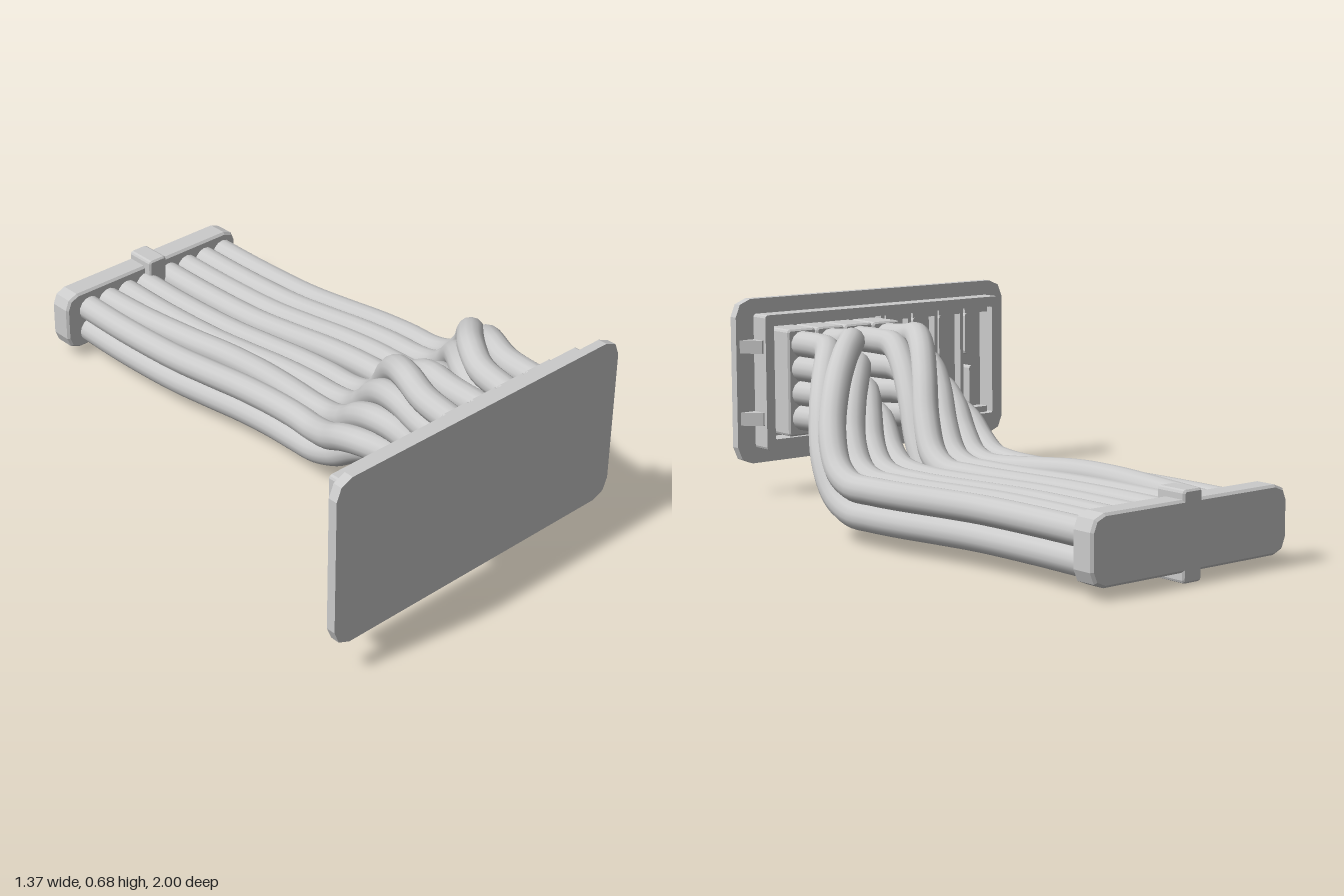
import * as THREE from 'three';

const grey = new THREE.MeshStandardMaterial({ color: 0xcccccc });
const greyThin = new THREE.MeshStandardMaterial({ color: 0xcccccc, side: THREE.DoubleSide });

// Rectangle outline with corners rounded in two facets
function roundedRect(x0, x1, y0, y1, r, Type = THREE.Shape) {
  const s = new Type();
  s.moveTo(x0 + r, y0);
  s.lineTo(x1 - r, y0);
  s.absarc(x1 - r, y0 + r, r, -Math.PI / 2, 0);
  s.absarc(x1 - r, y1 - r, r, 0, Math.PI / 2);
  s.absarc(x0 + r, y1 - r, r, Math.PI / 2, Math.PI);
  s.absarc(x0 + r, y0 + r, r, Math.PI, Math.PI * 1.5);
  return s;
}

// Slab between z0 and z1 with a small bevel; the outline stays the outer size
function slab(name, shape, z0, z1, bevel = 0) {
  const g = new THREE.ExtrudeGeometry(shape, {
    depth: z1 - z0 - 2 * bevel, curveSegments: 1, bevelEnabled: bevel > 0,
    bevelThickness: bevel, bevelSize: bevel, bevelOffset: -bevel, bevelSegments: 1,
  });
  g.translate(0, 0, z0 + bevel);
  const m = new THREE.Mesh(g, grey);
  m.name = name;
  return m;
}

function block(name, x0, x1, y0, y1, z0, z1) {
  const m = new THREE.Mesh(new THREE.BoxGeometry(x1 - x0, y1 - y0, z1 - z0), grey);
  m.position.set((x0 + x1) / 2, (y0 + y1) / 2, (z0 + z1) / 2);
  m.name = name;
  return m;
}

// Each bundle is two columns of four cables that sweeps down and twists a
// quarter turn into two flat rows. Centre line, twist and half gap by station:
const stations = [0.84, 0.7, 0.6, 0.5, 0.4, 0.3, 0.2, 0.1, -0.02, -0.15, -0.3, -0.45, -0.7, -0.94];
const centreX = [
  [0.012, 0.01, 0.01, 0.022, 0.05, 0.087, 0.115, 0.127, 0.128, 0.117, 0.094, 0.073, 0.061, 0.0645],
  [0.252, 0.258, 0.285, 0.343, 0.41, 0.467, 0.497, 0.509, 0.508, 0.492, 0.462, 0.437, 0.426, 0.4275],
];
const centreY = [0.4025, 0.41, 0.42, 0.39, 0.325, 0.23, 0.16, 0.135];
const twist = [0, 5, 16, 33, 50, 68, 83];
const halfGap = [0.06, 0.055, 0.05, 0.046];
const rise = [0, 0.008, 0.02, 0.03, 0.027, 0.012, 0];
const pitch = 0.085;

// Point at station i, offset u across the two columns and v along the stack
function bundlePoint(bundle, u, v, i) {
  const a = THREE.MathUtils.degToRad(twist[i] ?? 90);
  return new THREE.Vector3(
    centreX[bundle][i] + u * Math.cos(a) + v * Math.sin(a),
    (centreY[i] ?? 0.1325) - u * Math.sin(a) + v * Math.cos(a),
    stations[i]);
}

function cable(bundle, side, k) {
  const points = stations.map((z, i) => {
    const p = bundlePoint(bundle, side * (halfGap[i] ?? 0.0425), pitch * (1.5 - k), i);
    if (bundle === 0 && side < 0 && k === 2) p.y += rise[i - 7] ?? 0;
    return p;
  });
  const path = new THREE.CatmullRomCurve3(points);
  const m = new THREE.Mesh(new THREE.TubeGeometry(path, 72, 0.045, 14), grey);
  m.name = 'cable';
  return m;
}

// Smooth web under the flat stretch of a bundle
function undersideWeb(bundle) {
  const first = 5, rows = stations.length - 1 - first;
  const g = new THREE.PlaneGeometry(1, 1, 1, rows);
  for (let i = 0; i <= rows; i++) {
    [-1.5, 1.5].forEach((n, j) => {
      const p = bundlePoint(bundle, 0.086, n * pitch, i + first);
      g.attributes.position.setXYZ(i * 2 + j, p.x, p.y, p.z);
    });
  }
  g.computeVertexNormals();
  const web = new THREE.Mesh(g, greyThin);
  web.name = 'bundleUnderside';
  return web;
}

export function createModel() {
  const model = new THREE.Group();

  // Face plate
  model.add(slab('facePlate', roundedRect(-0.685, 0.492, 0.11, 0.682, 0.06), 0.968, 1));

  // Open socket frame
  const frame = roundedRect(-0.615, 0.42, 0.163, 0.63, 0.01);
  frame.holes.push(roundedRect(-0.58, 0.385, 0.198, 0.595, 0.005, THREE.Path));
  model.add(slab('socketFrame', frame, 0.895, 0.97));

  // Wedge clips on both ends of the frame
  const wedge = new THREE.Shape([[0.51, 0.97], [0.575, 0.965], [0.52, 0.91], [0.51, 0.91]]
    .map(([x, z]) => new THREE.Vector2(x, z)));
  const wedgeGeometry = new THREE.ExtrudeGeometry(wedge, { depth: 0.045, bevelEnabled: false });
  wedgeGeometry.translate(0, 0, -0.0225).rotateX(Math.PI / 2);
  for (const turn of [0, Math.PI]) {
    for (const y of [0.27, 0.52]) {
      const clip = new THREE.Mesh(wedgeGeometry, grey);
      clip.name = 'frameClip';
      clip.rotation.z = turn;
      clip.position.set(-0.095, y, 0);
      model.add(clip);
    }
  }

  // Empty sockets: end ledges and pairs of contact tabs
  for (let i = 0; i < 4; i++) {
    const x = -0.528 + 0.12 * i;
    model.add(block('socketLedge', x - 0.053, x + 0.053, 0.198, 0.22, 0.925, 0.97));
    model.add(block('socketLedge', x - 0.053, x + 0.053, 0.573, 0.595, 0.925, 0.97));
    model.add(block('socketDivider', x + 0.053, x + 0.067, 0.198, 0.595, 0.935, 0.97));
    model.add(slab('upperTab', roundedRect(x + 0.005, x + 0.045, 0.42, 0.573, 0.012), 0.935, 0.97));
    model.add(slab('lowerTab', roundedRect(x + 0.025, x + 0.045, 0.22, 0.38, 0.009), 0.91, 0.97));
  }

  // Plugs
  for (let c = 0; c < 4; c++) {
    const x = -0.048 + 0.12 * c;
    model.add(slab('plug', roundedRect(x - 0.058, x + 0.058, 0.213, 0.582, 0.01), 0.832, 0.97, 0.006));
  }

  // Cable bundles
  for (const bundle of [0, 1]) {
    for (const side of [-1, 1]) {
      for (let k = 0; k < 4; k++) model.add(cable(bundle, side, k));
    }
    model.add(undersideWeb(bundle));
  }

  // End block and its clamp
  model.add(slab('endBlock', roundedRect(-0.163, 0.618, 0.033, 0.247, 0.05), -1, -0.915, 0.008));
  model.add(slab('endClamp', roundedRect(0.19, 0.265, 0, 0.275, 0.01), -1, -0.885, 0.006));

  return model;
}
